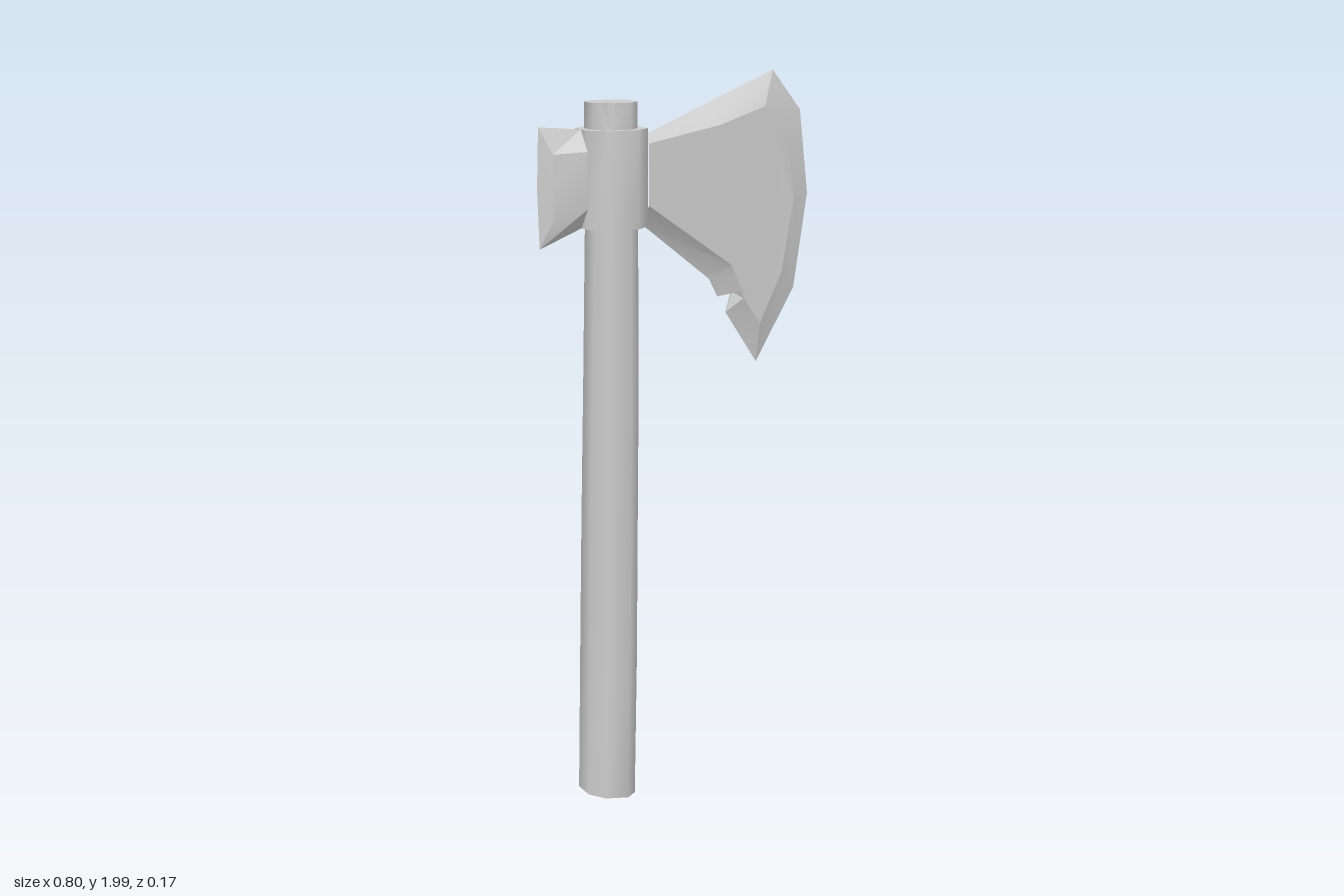
import * as THREE from 'three';
import { toCreasedNormals } from 'three/addons/utils/BufferGeometryUtils.js';

const OCTAGON = [[-0.48, 1], [0.48, 1], [1, 0.48], [1, -0.48], [0.48, -1], [-0.48, -1], [-1, -0.48], [-1, 0.48]];

// Collects convex polygons as triangle fans
class Faces {
  constructor() { this.data = []; }
  poly(...p) {
    for (let i = 1; i < p.length - 1; i++) this.data.push(...p[0], ...p[i], ...p[i + 1]);
  }
  mesh(name, crease) {
    const g = new THREE.BufferGeometry();
    g.setAttribute('position', new THREE.Float32BufferAttribute(this.data, 3));
    const m = new THREE.Mesh(toCreasedNormals(g, crease), new THREE.MeshStandardMaterial({ color: 0xcccccc }));
    m.name = name;
    return m;
  }
}

// Octagonal ring: centre x, height, centre z, half sizes, slope along x
const ring = (cx, y, cz, hx, hz, tilt = 0) =>
  OCTAGON.map(([u, v]) => [cx + u * hx, y + u * tilt, cz + v * hz]);

const mix = (a, b, t) => a.map((v, i) => v + (b[i] - v) * t);

// Side faces between two rings, leaving out the listed sides
function band(f, a, b, skip = []) {
  for (let i = 0; i < 8; i++) {
    const j = (i + 1) % 8;
    if (!skip.includes(i)) f.poly(a[i], a[j], b[j], b[i]);
  }
}

// Slightly bent shaft with a chipped corner at the top
function makeHandle() {
  const f = new Faces();
  const rings = [
    ring(-0.215, 0.014, 0.003, 0.07, 0.073, -0.008),
    ring(-0.207, 0.4, 0.002, 0.071, 0.071),
    ring(-0.2, 0.8, 0, 0.07, 0.067),
    ring(-0.193, 1.2, 0, 0.068, 0.065),
    ring(-0.189, 1.6, 0, 0.064, 0.063),
    ring(-0.189, 1.865, 0, 0.064, 0.062),
    ring(-0.189, 1.93, 0, 0.064, 0.062),
  ];
  f.poly(...[...rings[0]].reverse());
  for (let i = 0; i < 5; i++) band(f, rings[i], rings[i + 1]);

  // Chip: the front corner is cut down to the ring below
  const low = rings[5], top = rings[6];
  band(f, low, top, [0, 7]);
  const a = mix(top[7], top[0], 0.5), b = mix(top[0], top[1], 0.3);
  const deep = [-0.208, 1.93, 0.025];
  f.poly(low[0], low[1], top[1], b);
  f.poly(low[7], low[0], a, top[7]);
  f.poly(low[0], b, deep);
  f.poly(low[0], deep, a);
  f.poly(deep, b, ...top.slice(1), a);
  return f.mesh('handle', 0.9);
}

// Octagonal socket around the shaft
function makeCollar() {
  const f = new Faces();
  const a = ring(-0.1875, 1.6, 0, 0.0875, 0.083);
  const b = ring(-0.1875, 1.86, 0, 0.0875, 0.083);
  f.poly(...[...a].reverse());
  band(f, a, b);
  f.poly(...b);
  return f.mesh('collar', 0.9);
}

// Two mirrored cheeks bevelled to a sharp outline; points run clockwise from the root.
// Each row: outline x, y, then cheek x, y, z
function makeWedge(name, rows) {
  const f = new Faces();
  const outer = rows.map(r => [r[0], r[1], 0]);
  const inner = rows.map(r => [r[2], r[3], r[4]]);
  const flat = inner.map(p => new THREE.Vector2(p[0], p[1]));
  const both = (...p) => {
    f.poly(...p);
    f.poly(...p.map(([x, y, z]) => [x, y, -z]).reverse());
  };
  for (let i = 0; i < rows.length - 1; i++) both(inner[i], inner[i + 1], outer[i + 1], outer[i]);
  for (const t of THREE.ShapeUtils.triangulateShape(flat, [])) {
    if (THREE.ShapeUtils.area(t.map(k => flat[k])) < 0) t.reverse();
    both(...t.map(k => inner[k]));
  }
  return f.mesh(name, 0.3);
}

export function createModel() {
  const group = new THREE.Group();
  group.name = 'axe';

  const head = new THREE.Group();
  head.name = 'axeHead';
  head.add(makeCollar());

  // Broad bearded blade with a nick in its lower edge
  head.add(makeWedge('blade', [
    [-0.1, 1.835, -0.1, 1.82, 0.046],
    [0.1, 1.92, 0.11, 1.86, 0.042],
    [0.29, 2.0, 0.25, 1.905, 0.035],
    [0.375, 1.89, 0.325, 1.81, 0.026],
    [0.4, 1.66, 0.345, 1.65, 0.025],
    [0.36, 1.4, 0.31, 1.45, 0.025],
    [0.245, 1.2, 0.245, 1.31, 0.024],
    [0.15, 1.345, 0.19, 1.385, 0.031],
    [0.17, 1.4, 0.185, 1.405, 0.032],
    [0.125, 1.39, 0.165, 1.45, 0.036],
    [0.1, 1.44, 0.15, 1.48, 0.038],
    [-0.1, 1.6, -0.1, 1.655, 0.046],
  ]));

  // Short flared wedge on the other side
  head.add(makeWedge('poll', [
    [-0.275, 1.6, -0.275, 1.655, 0.045],
    [-0.395, 1.55, -0.365, 1.63, 0.027],
    [-0.4, 1.71, -0.367, 1.715, 0.027],
    [-0.395, 1.87, -0.365, 1.8, 0.027],
    [-0.275, 1.86, -0.275, 1.805, 0.045],
  ]));

  group.add(makeHandle(), head);
  return group;
}
